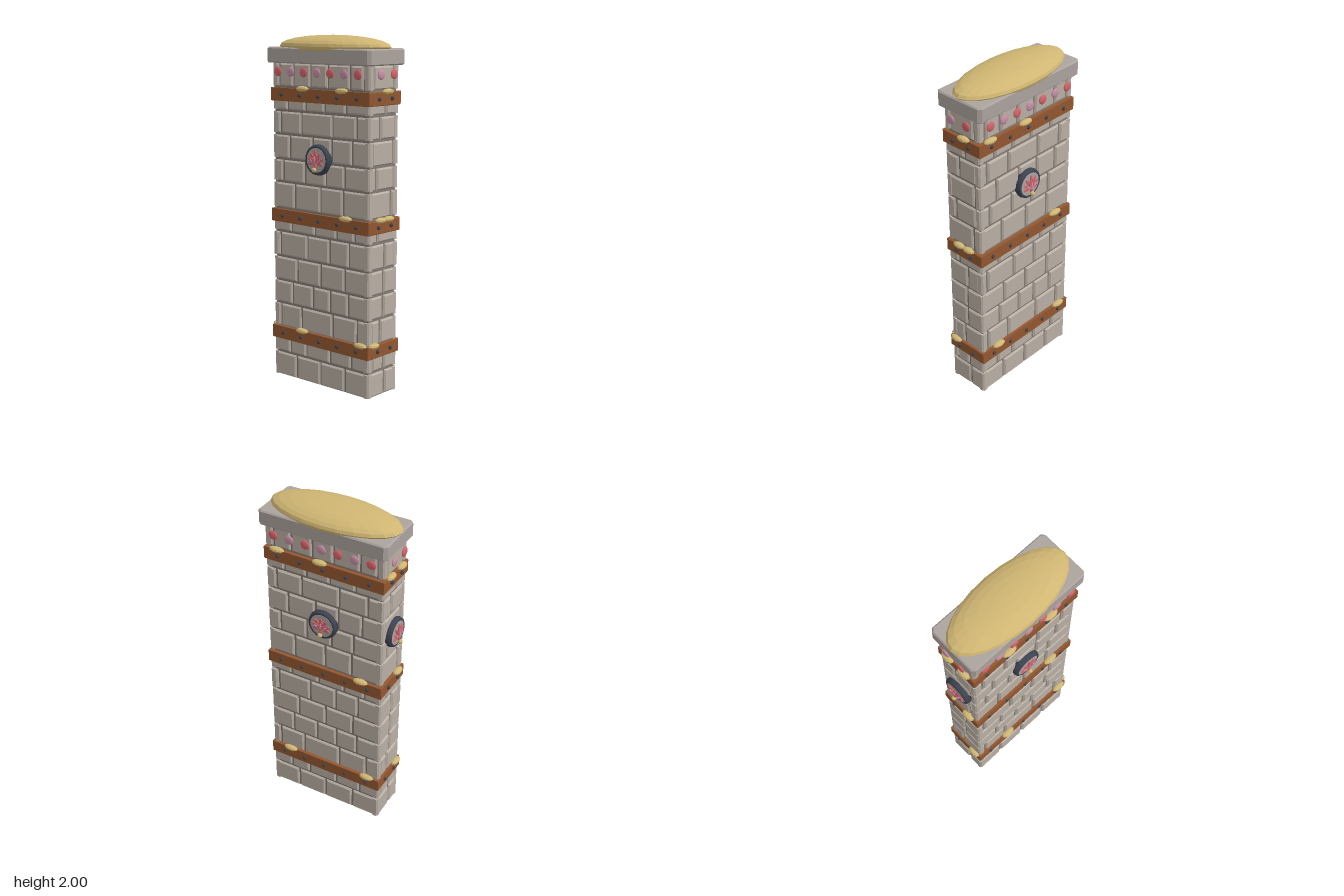
import * as THREE from 'three';

const mat = (name, color, extra = {}) => Object.assign(new THREE.MeshStandardMaterial({ color, ...extra }), { name });

export function createModel() {
  const M = {
    brick: mat('brick stone', 0xb9afa5),
    mortar: mat('mortar', 0x857c75),
    cap: mat('cap stone', 0xaca39e),
    wood: mat('wood', 0x935730),
    gold: mat('gold sand', 0xd0b673, { flatShading: true }),
    iron: mat('dark iron', 0x3d4350),
    red: mat('red petal', 0xd6636b, { side: THREE.DoubleSide }),
    mauve: mat('mauve petal', 0xc78fa6, { side: THREE.DoubleSide }),
  };
  const root = new THREE.Group();
  root.name = 'brickPillar';
  root.position.z = 0.0165;

  const add = (parent, name, geo, material, x = 0, y = 0, z = 0) => {
    const m = new THREE.Mesh(geo, material);
    m.name = name;
    m.position.set(x, y, z);
    parent.add(m);
    return m;
  };

  // Box with bevelled edges, centred on the origin
  const bevelBox = (w, h, d, b) => {
    const x = w / 2 - b, y = h / 2 - b;
    const s = new THREE.Shape([[-x, -y], [x, -y], [x, y], [-x, y]].map(p => new THREE.Vector2(...p)));
    return new THREE.ExtrudeGeometry(s, {
      depth: d - 2 * b, bevelEnabled: true, bevelSize: b, bevelThickness: b, bevelSegments: 1,
    }).translate(0, 0, -d / 2 + b);
  };
  const ellipsoid = (a, b, c, seg = 10, rings = 6) => new THREE.SphereGeometry(1, seg, rings).scale(a, b, c);

  const HX = 0.125, HZ = 0.361;

  // Mortar core
  add(root, 'mortarCore', new THREE.BoxGeometry(2 * HX - 0.022, 1.85, 2 * HZ - 0.022), M.mortar, 0, 0.93, 0);

  // Brick courses: bottom, top, joints on the wide sides, joints on the narrow ends
  const courses = [
    [0.005, 0.14, [-0.185, 0, 0.185], [0.02]],
    [0.153, 0.293, [-0.235, -0.11, 0.075, 0.235], [-0.09, 0.01]],
    [0.306, 0.438, [-0.31, -0.145, 0.095, 0.275], [-0.1, -0.02]],
    [0.451, 0.575, [-0.215, -0.055, 0.075, 0.21], [0.005]],
    [0.588, 0.718, [-0.177, 0.003, 0.183], [0.005]],
    [0.731, 0.867, [-0.31, -0.098, 0.072, 0.215], [0.015, 0.105]],
    [0.88, 1.0, [-0.22, -0.04, 0.125, 0.255], [-0.05]],
    [1.015, 1.157, [-0.193, 0.003, 0.172], [0.067]],
    [1.17, 1.29, [-0.283, -0.113, 0.045, 0.183], [-0.062, 0.09]],
    [1.303, 1.433, [-0.23, -0.055, 0.087, 0.235], [-0.1, 0.083]],
    [1.446, 1.567, [-0.3, -0.14, 0.093, 0.267], [-0.03, 0.1]],
    [1.58, 1.7, [-0.245, -0.108, 0.035, 0.193], [0.015]],
    [1.713, 1.84, [-0.31, -0.2, -0.07, 0.06, 0.22, 0.32], [-0.09, 0.085]],
  ];

  // Pointed petal growing upward from its base
  const petal = (len, w) => {
    const s = new THREE.Shape();
    s.moveTo(0, 0);
    s.quadraticCurveTo(w, len * 0.55, 0, len);
    s.quadraticCurveTo(-w, len * 0.55, 0, 0);
    return new THREE.ExtrudeGeometry(s, { depth: 0.006, bevelEnabled: false, curveSegments: 5 });
  };

  // Round shield with a flower; faces +z
  const emblem = () => {
    const g = new THREE.Group();
    g.name = 'flowerShield';
    const profile = [[0, -0.01], [0.085, -0.01], [0.088, 0.008], [0.083, 0.025], [0.074, 0.03], [0.067, 0.025], [0, 0.025]];
    add(g, 'shieldRim', new THREE.LatheGeometry(profile.map(p => new THREE.Vector2(...p)), 28).rotateX(Math.PI / 2), M.iron);
    add(g, 'shieldFace', new THREE.CylinderGeometry(0.069, 0.069, 0.006, 28).rotateX(Math.PI / 2), M.cap, 0, 0, 0.025);
    for (let i = -3; i <= 3; i++) {
      const p = add(g, 'outerPetal', petal(0.072 - 0.005 * Math.abs(i), 0.018), M.red, 0, -0.015, 0.029 + 0.001 * (3 - Math.abs(i)));
      p.rotation.z = i * 0.58;
    }
    for (let i = -2; i <= 2; i++) {
      const p = add(g, 'innerPetal', petal(0.045, 0.012), i % 2 ? M.red : M.mauve, 0, -0.022, 0.036 + 0.001 * (2 - Math.abs(i)));
      p.rotation.z = i * 0.5;
    }
    add(g, 'flowerStem', ellipsoid(0.009, 0.018, 0.008), M.red, 0, -0.032, 0.036);
    add(g, 'goldBead', ellipsoid(0.014, 0.014, 0.014), M.gold, 0, -0.053, 0.045);
    return g;
  };

  const bandY = [0.267, 0.967, 1.665];
  // Sand piles are listed per band as positions along the face
  const faces = [
    { name: 'front', turn: 0, out: HZ, half: HX, wide: false, piles: [[-0.085], [-0.035, 0.035], [0.02]] },
    { name: 'back', turn: Math.PI, out: HZ, half: HX, wide: false, shield: true, piles: [[0.08], [0.06], [-0.06, 0.06]] },
    { name: 'leftSide', turn: Math.PI / 2, out: HX, half: HZ, wide: true, shield: true, piles: [[-0.235, 0.285], [0.235], [-0.285, -0.02]] },
    { name: 'rightSide', turn: -Math.PI / 2, out: HX, half: HZ, wide: true, shield: true, piles: [[-0.13, 0.31], [0.2], [-0.12, 0.17]] },
  ];

  for (const f of faces) {
    const g = new THREE.Group();
    g.name = f.name;
    g.rotation.y = f.turn;
    root.add(g);

    // Bricks
    for (const [y0, y1, wideJoints, endJoints] of courses) {
      const edges = [-f.half, ...(f.wide ? wideJoints : endJoints), f.half];
      for (let i = 0; i + 1 < edges.length; i++) {
        const a = edges[i] + (i ? 0.006 : 0);
        const b = edges[i + 1] - (i + 2 < edges.length ? 0.006 : 0);
        add(g, 'brick', bevelBox(b - a, y1 - y0, 0.04, 0.009), M.brick, (a + b) / 2, (y0 + y1) / 2, f.out - 0.02);
      }
    }

    // Studs and sand piles on the bands
    const studs = f.wide ? [-0.28, -0.14, 0, 0.14, 0.28] : [-0.055, 0.055];
    bandY.forEach((y, k) => {
      for (const u of studs) add(g, 'stud', ellipsoid(0.012, 0.012, 0.012, 8, 6), M.iron, u, y, f.out + 0.009);
      for (const u of f.piles[k]) {
        add(g, 'sandPile', ellipsoid(f.wide ? 0.046 : 0.042, 0.016, 0.022), M.gold, u, y + 0.038, f.out + 0.008);
      }
    });

    // Row of gems under the cap
    const gems = f.wide ? [-3, -2, -1, 0, 1, 2, 3].map(i => i * 0.0985) : [-0.055, 0.055];
    gems.forEach((u, i) => {
      const red = f.wide ? i % 2 === 0 : i === 1;
      add(g, 'gem', ellipsoid(0.028, 0.027, 0.009, 12, 8), red ? M.red : M.mauve, u, 1.795, f.out + 0.021);
    });

    if (f.shield) {
      const e = emblem();
      e.position.set(0, 1.315, f.out);
      g.add(e);
    }
  }

  // Wooden bands
  for (const y of bandY) {
    add(root, 'woodBand', bevelBox(2 * HX + 0.02, 0.074, 2 * HZ + 0.014, 0.003), M.wood, 0, y, 0);
  }

  // Cap stone with clipped corners, and the sand dome on top
  const cx = 0.156, cz = 0.384, c = 0.014;
  const outline = [[-cx + c, -cz], [cx - c, -cz], [cx, -cz + c], [cx, cz - c], [cx - c, cz], [-cx + c, cz], [-cx, cz - c], [-cx, -cz + c]]
    .map(([x, z]) => new THREE.Vector2(x * 0.955, z * 0.982));
  const capGeo = new THREE.ExtrudeGeometry(new THREE.Shape(outline), {
    depth: 0.074, bevelEnabled: true, bevelSize: 0.007, bevelThickness: 0.007, bevelSegments: 1,
  }).rotateX(-Math.PI / 2);
  add(root, 'capStone', capGeo, M.cap, 0, 1.849, 0);
  add(root, 'sandDome', ellipsoid(0.17, 0.063, 0.387, 24, 12), M.gold, 0, 1.937, -0.003);

  return root;
}
